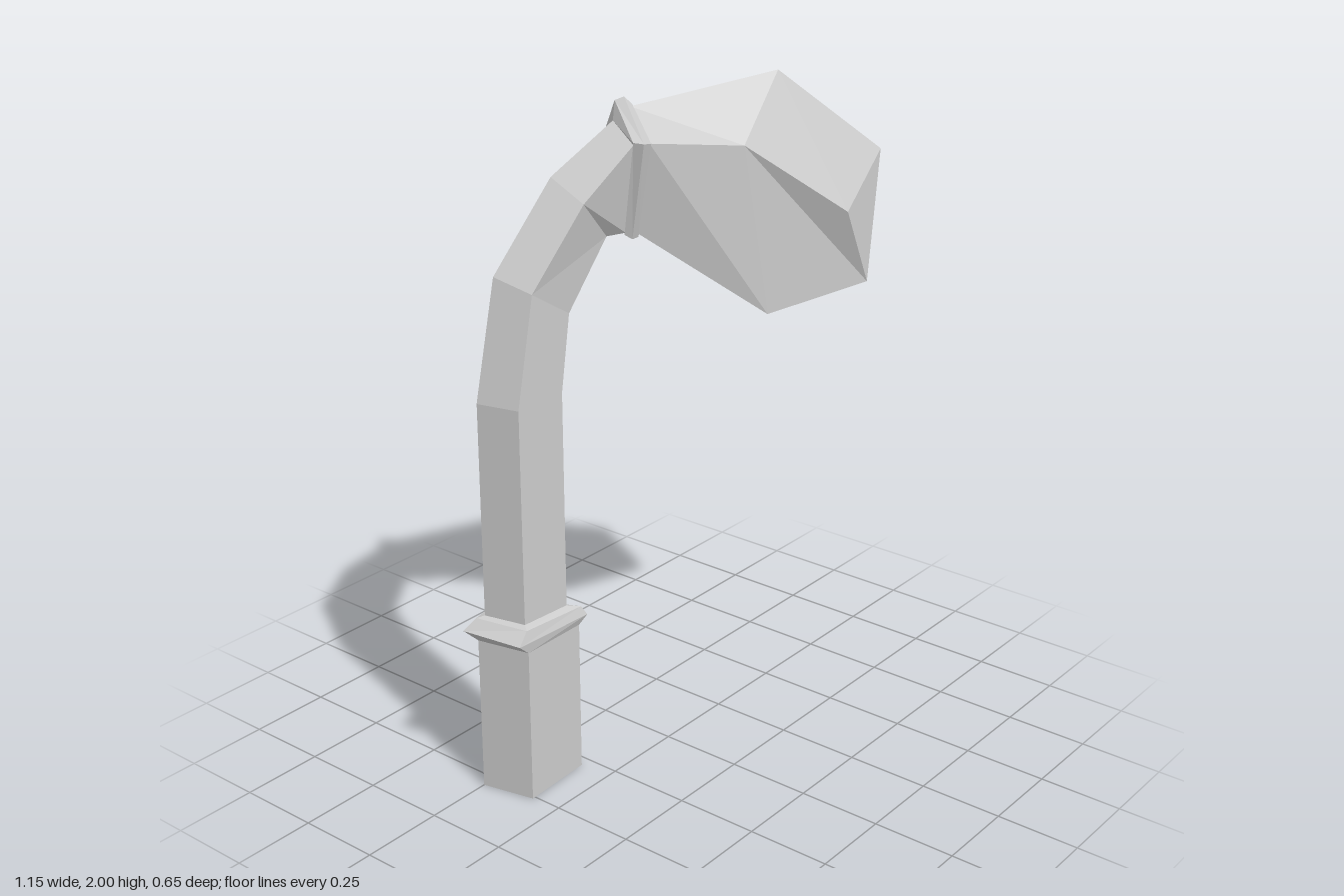
import * as THREE from 'three';

const material = new THREE.MeshStandardMaterial({ color: 0xcccccc, flatShading: true, side: THREE.DoubleSide });

// Skin a sequence of four-cornered rings (outer, front, inner, back corner) with flat faces.
function loft(name, rings, capEnd = false) {
  const pos = [];
  const tri = (...corners) => corners.forEach((c) => pos.push(...c));
  for (let r = 0; r < rings.length - 1; r++) {
    const a = rings[r], b = rings[r + 1];
    for (let i = 0; i < 4; i++) {
      const j = (i + 1) % 4;
      tri(a[i], a[j], b[j]);
      tri(a[i], b[j], b[i]);
    }
  }
  if (capEnd) {
    const e = rings[rings.length - 1];
    tri(e[0], e[1], e[2]);
    tri(e[0], e[2], e[3]);
  }
  const geometry = new THREE.BufferGeometry();
  geometry.setAttribute('position', new THREE.Float32BufferAttribute(pos, 3));
  geometry.computeVertexNormals();
  const mesh = new THREE.Mesh(geometry, material);
  mesh.name = name;
  return mesh;
}

// Lift a kite-shaped plan of [x, z] corners to height y, with an optional tilt along x.
const lift = (plan, y, tilt = 0) => plan.map(([x, z]) => [x, y - tilt * (x + 0.42), z]);

export function createModel() {
  const group = new THREE.Group();
  group.name = 'hookedPipe';

  // Kite plans of the upright parts
  const postPlan = [[-0.545, -0.25], [-0.51, -0.09], [-0.285, -0.1], [-0.39, -0.29]];
  const pipePlan = [[-0.525, -0.24], [-0.495, -0.115], [-0.32, -0.115], [-0.4, -0.267]];
  const rimPlan = [[-0.578, -0.275], [-0.55, -0.085], [-0.26, -0.09], [-0.39, -0.328]];
  const rimTopPlan = [[-0.545, -0.255], [-0.51, -0.095], [-0.275, -0.1], [-0.385, -0.3]];

  // Rings of the bend
  const bendLow = [[-0.45, 1.53, -0.235], [-0.43, 1.5, -0.115], [-0.285, 1.41, -0.115], [-0.355, 1.47, -0.267]];
  const bendHigh = [[-0.275, 1.775, -0.18], [-0.275, 1.72, -0.065], [-0.155, 1.6, -0.09], [-0.19, 1.695, -0.22]];
  const pipeEnd = [[-0.1, 1.905, -0.11], [-0.135, 1.86, -0.01], [-0.11, 1.605, -0.06], [-0.05, 1.825, -0.155]];

  // Rings of the upper collar and of the head
  const rimBack = [[-0.08, 1.955, -0.12], [-0.152, 1.872, 0.003], [-0.115, 1.6, -0.06], [-0.06, 1.845, -0.18]];
  const rimMiddle = [[-0.065, 1.965, -0.1], [-0.14, 1.87, 0.03], [-0.1, 1.587, -0.045], [-0.015, 1.84, -0.193]];
  const rimFront = [[-0.05, 1.945, -0.085], [-0.1, 1.862, 0.022], [-0.08, 1.59, -0.04], [0, 1.83, -0.155]];
  const headStart = [[-0.055, 1.938, -0.088], [-0.095, 1.86, 0.012], [-0.08, 1.6, -0.045], [0, 1.83, -0.14]];
  const headWide = [[0.33, 2, 0.12], [0.14, 1.83, 0.15], [0.22, 1.335, 0.18], [0.235, 1.81, 0]];
  const headEnd = [[0.575, 1.76, 0.305], [0.39, 1.62, 0.325], [0.5, 1.39, 0.325], [0.48, 1.6, 0.17]];

  group.add(
    loft('post', [lift(postPlan, 0), lift(postPlan, 0.48)]),
    loft('lowerCollar', [
      lift(postPlan, 0.472, 0.03), lift(rimPlan, 0.503, 0.05),
      lift(rimTopPlan, 0.535, 0.08), lift(pipePlan, 0.545, 0.05),
    ]),
    loft('pipe', [lift(pipePlan, 0.54), lift(pipePlan, 1.19), bendLow, bendHigh, pipeEnd]),
    loft('upperCollar', [pipeEnd, rimBack, rimMiddle, rimFront, headStart]),
    loft('head', [headStart, headWide, headEnd], true),
  );
  return group;
}
